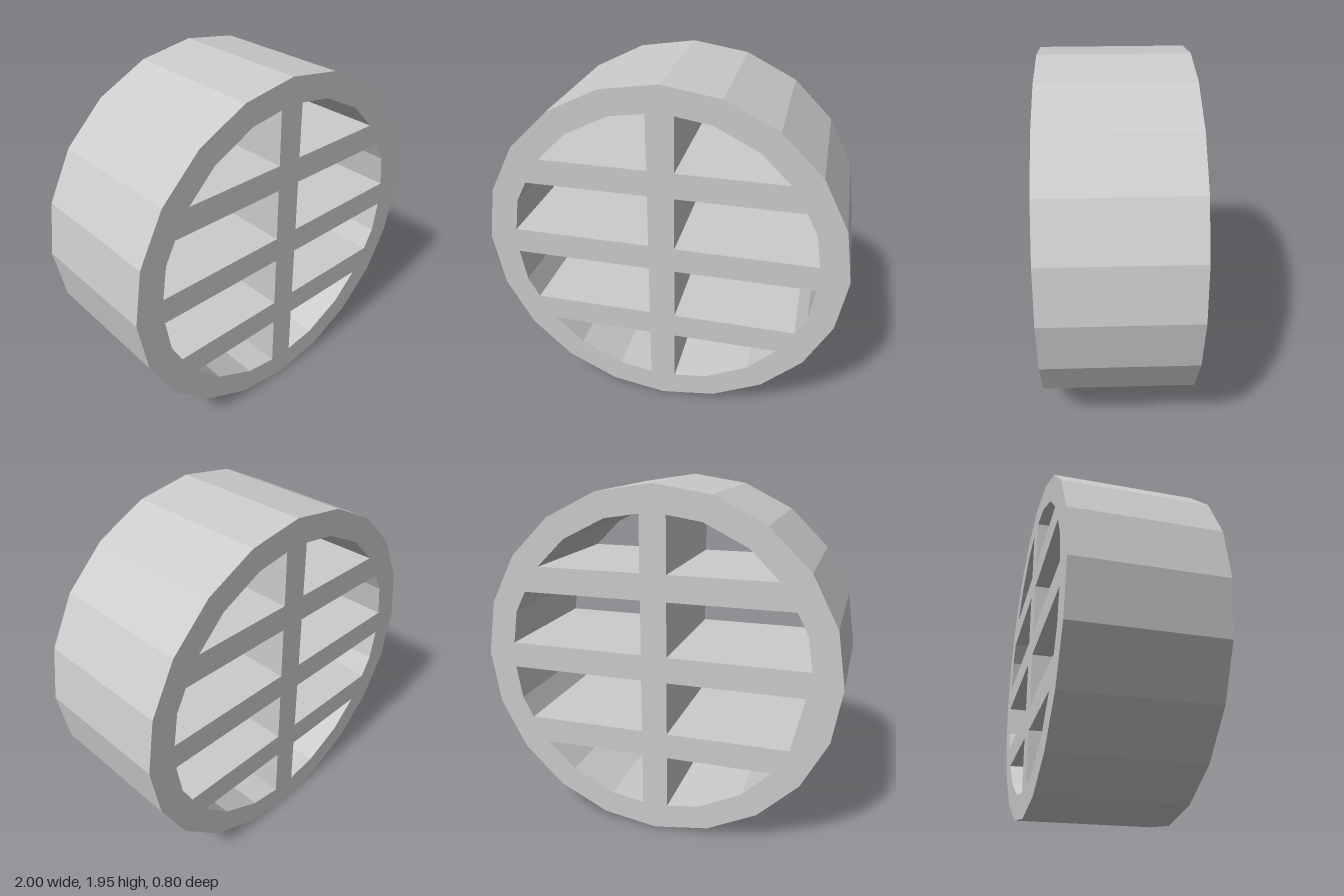
import * as THREE from 'three';

const SIDES = 20, DEPTH = 0.8, RX = 1, RY = 0.975;

// Faceted ellipse with a corner at the top
function ring(rx, ry) {
  return Array.from({ length: SIDES }, (_, i) => {
    const a = (i / SIDES) * Math.PI * 2;
    return new THREE.Vector2(Math.cos(a) * rx, Math.sin(a) * ry);
  });
}

// Keep the part of a convex polygon where sign * (p[axis] - limit) >= 0
function clip(points, axis, limit, sign) {
  const out = [];
  points.forEach((p, i) => {
    const q = points[(i + 1) % points.length];
    const dp = sign * (p[axis] - limit), dq = sign * (q[axis] - limit);
    if (dp >= 0) out.push(p);
    if (dp * dq < 0) out.push(p.clone().lerp(q, dp / (dp - dq)));
  });
  return out;
}

export function createModel() {
  const group = new THREE.Group();
  group.name = 'barredDrum';

  const shape = new THREE.Shape(ring(RX, RY));

  // Openings left between the rim, the upright bar and the three cross bars
  const halfBar = 0.0725;
  const bands = [[halfBar, 0.375], [0.52, 1]];
  for (const sx of [-1, 1]) {
    for (const sy of [-1, 1]) {
      for (const [low, high] of bands) {
        let cell = ring(0.85, 0.835);
        cell = clip(cell, 'x', sx * halfBar, sx);
        cell = clip(cell, 'y', sy * low, sy);
        cell = clip(cell, 'y', sy * high, -sy);
        shape.holes.push(new THREE.Path(cell));
      }
    }
  }

  // Rim and bars as one solid, pierced from front to back
  const geometry = new THREE.ExtrudeGeometry(shape, { depth: DEPTH, bevelEnabled: false });
  geometry.translate(0, RY, -DEPTH / 2);
  const material = new THREE.MeshStandardMaterial({ color: 0xcccccc, flatShading: true });
  const drum = new THREE.Mesh(geometry, material);
  drum.name = 'rimAndBars';
  group.add(drum);
  return group;
}
